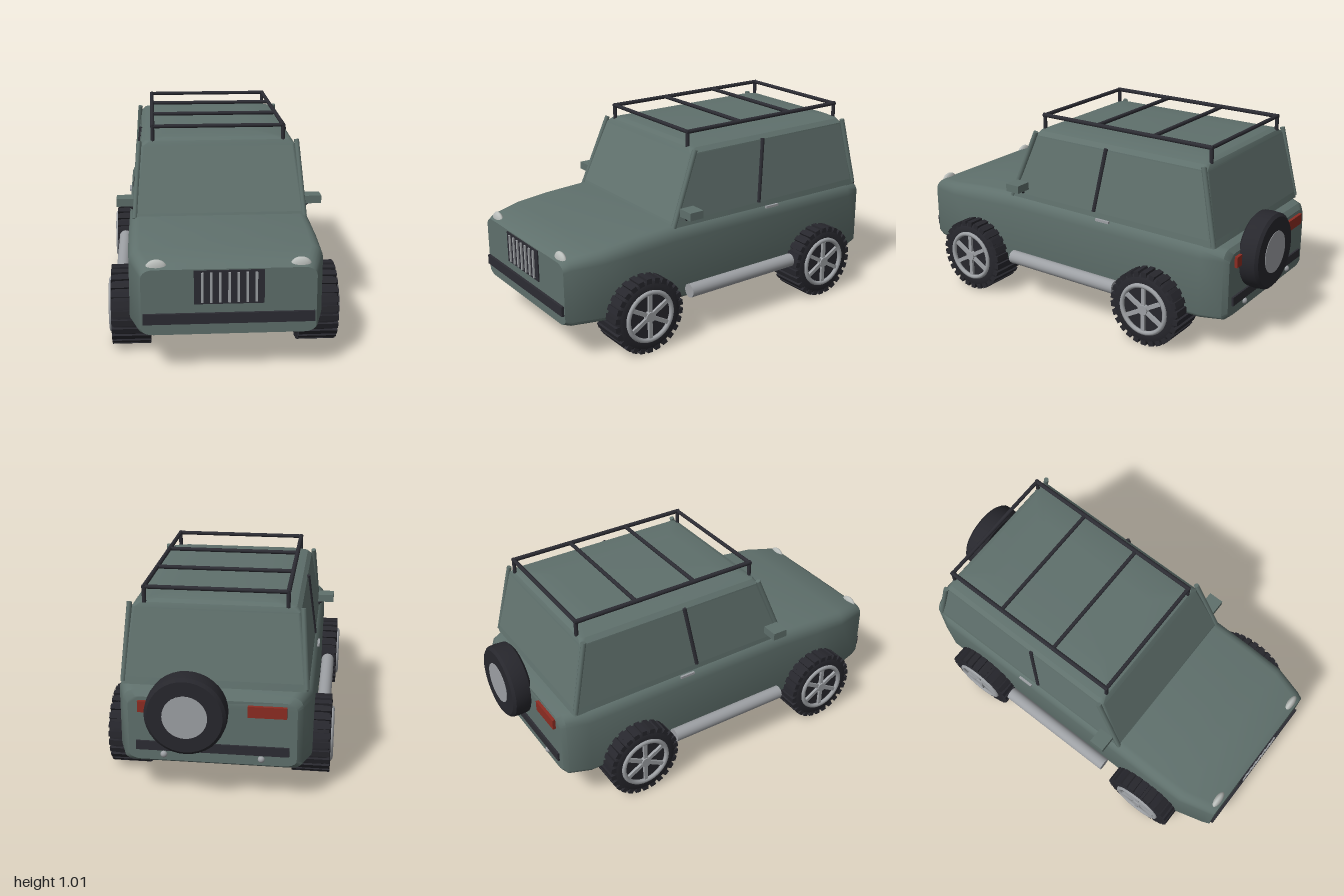
import * as THREE from 'three';
import { toCreasedNormals } from 'three/addons/utils/BufferGeometryUtils.js';

const mat = (name, color, side = THREE.FrontSide) => {
  const m = new THREE.MeshStandardMaterial({ color, side });
  m.name = name;
  return m;
};

export function createModel() {
  const car = new THREE.Group();
  car.name = 'offRoadCar';
  const paint = mat('greenPaint', 0x5f706c);
  const glass = mat('tintedGlass', 0x62736f, THREE.DoubleSide);
  const dark = mat('darkTrim', 0x2c2c33);
  const rubber = mat('rubber', 0x27272d);
  const metal = mat('greyMetal', 0x9da0a4);
  const lamp = mat('paleLamp', 0xb9bdba);
  const red = mat('redLamp', 0x8c2c22);

  const add = (name, geo, material, x = 0, y = 0, z = 0, parent = car) => {
    const m = new THREE.Mesh(geo, material);
    m.name = name;
    m.position.set(x, y, z);
    parent.add(m);
    return m;
  };
  const box = (name, w, h, d, material, x, y, z, parent) =>
    add(name, new THREE.BoxGeometry(w, h, d), material, x, y, z, parent);
  // Round bar between two points
  const bar = (name, a, b, r, material, sides = 10) => {
    const p = new THREE.Vector3(...a), q = new THREE.Vector3(...b);
    const m = add(name, new THREE.CylinderGeometry(r, r, p.distanceTo(q), sides), material);
    m.position.copy(p).add(q).multiplyScalar(0.5);
    m.quaternion.setFromUnitVectors(new THREE.Vector3(0, 1, 0), q.sub(p).normalize());
    return m;
  };

  // Rounded rectangle as a counter-clockwise ring; separate radii at bottom and top
  const ring = (hw, v0, v1, rx, ryBottom, ryTop, steps = 5) => {
    const pts = [];
    [[1, 1], [-1, 1], [-1, -1], [1, -1]].forEach(([sx, sy], k) => {
      const ry = sy > 0 ? ryTop : ryBottom;
      const cx = sx * (hw - rx), cy = sy > 0 ? v1 - ry : v0 + ry;
      for (let i = 0; i <= steps; i++) {
        const a = (k + i / steps) * Math.PI / 2;
        pts.push([cx + rx * Math.cos(a), cy + ry * Math.sin(a)]);
      }
    });
    return pts;
  };
  // Skin over successive rings of points, capped at both ends
  const loft = (rings, crease) => {
    const n = rings[0].length, pos = rings.flat(2), idx = [];
    for (let i = 0; i < rings.length - 1; i++)
      for (let j = 0; j < n; j++) {
        const k = (j + 1) % n, a = i * n + j, b = i * n + k;
        idx.push(a, b, b + n, a, b + n, a + n);
      }
    const last = (rings.length - 1) * n;
    for (let j = 1; j < n - 1; j++) idx.push(0, j + 1, j, last, last + j, last + j + 1);
    const g = new THREE.BufferGeometry();
    g.setAttribute('position', new THREE.Float32BufferAttribute(pos, 3));
    g.setIndex(idx);
    return toCreasedNormals(g, crease);
  };

  // Lower body: z, half width, bottom, top, top radius
  const bodySections = [
    [-0.905, 0.395, 0.195, 0.515, 0.04], [-0.885, 0.42, 0.18, 0.54, 0.05],
    [-0.78, 0.46, 0.18, 0.565, 0.07], [0.39, 0.46, 0.18, 0.572, 0.07],
    [0.62, 0.46, 0.18, 0.56, 0.07], [0.80, 0.455, 0.18, 0.542, 0.06],
    [0.95, 0.413, 0.18, 0.523, 0.05], [0.985, 0.40, 0.19, 0.503, 0.04],
  ];
  add('body', loft(bodySections.map(([z, hw, b, t, r]) =>
    ring(hw, b, t, 0.055, 0.03, r).map(([x, y]) => [x, y, z])), 0.6), paint);
  box('underbody', 0.62, 0.04, 1.62, dark, 0, 0.175, 0.04);

  // Cabin and roof: y, half width, front z, rear z, corner radius
  const cabinSections = [
    [0.55, 0.437, 0.395, -0.845, 0.015], [0.905, 0.392, 0.25, -0.765, 0.015],
    [0.927, 0.372, 0.238, -0.757, 0.03], [0.94, 0.31, 0.21, -0.735, 0.03],
    [0.946, 0.2, 0.1, -0.62, 0.03],
  ];
  add('cabin', loft(cabinSections.map(([y, hw, f, b, r]) =>
    ring(hw, -f, -b, r, r, r).map(([x, v]) => [x, y, -v])), 0.35), paint);

  // Window panes lying just proud of the cabin walls
  const pane = (name, corners) => {
    const g = new THREE.BufferGeometry();
    g.setAttribute('position', new THREE.Float32BufferAttribute(corners.flat(), 3));
    g.setIndex([0, 1, 2, 0, 2, 3]);
    g.computeVertexNormals();
    add(name, g, glass);
  };
  const at = (y, lo, hi) => lo + (hi - lo) * (y - 0.55) / 0.355;
  const wallX = (y) => at(y, 0.437, 0.392) + 0.003;
  const frontZ = (y) => at(y, 0.395, 0.25) + 0.003;
  const rearZ = (y) => at(y, -0.845, -0.765) - 0.003;
  const y0 = 0.585, y1 = 0.9;
  pane('windscreen', [[-0.415, y0, frontZ(y0)], [0.415, y0, frontZ(y0)],
    [0.378, y1, frontZ(y1)], [-0.378, y1, frontZ(y1)]]);
  pane('rearWindow', [[0.415, y0, rearZ(y0)], [-0.415, y0, rearZ(y0)],
    [-0.378, y1, rearZ(y1)], [0.378, y1, rearZ(y1)]]);

  // Wheel built along its own axle (y), outer face up
  const tyreProfile = [[0, -0.095], [0.165, -0.095], [0.18, -0.085], [0.184, -0.06],
    [0.184, 0.06], [0.18, 0.085], [0.165, 0.095], [0.135, 0.095], [0.125, 0.085], [0, 0.085]];
  const tyreGeo = toCreasedNormals(new THREE.LatheGeometry(
    tyreProfile.map((p) => new THREE.Vector2(...p)), 36), 0.6);
  const makeWheel = (name) => {
    const w = new THREE.Group();
    w.name = name;
    add('tyre', tyreGeo, rubber, 0, 0, 0, w);
    for (let i = 0; i < 26; i++) {
      const a = i / 26 * Math.PI * 2;
      box('treadBlock', 0.03, 0.186, 0.028, rubber,
        Math.cos(a) * 0.179, 0, Math.sin(a) * 0.179, w).rotation.y = -a;
    }
    const rim = add('rim', new THREE.TorusGeometry(0.124, 0.012, 8, 36), metal, 0, 0.095, 0, w);
    rim.rotation.x = Math.PI / 2;
    for (let i = 0; i < 6; i++) {
      const a = i * Math.PI / 3;
      box('spoke', 0.1, 0.014, 0.02, metal,
        Math.cos(a) * 0.07, 0.093, Math.sin(a) * 0.07, w).rotation.y = -a;
    }
    add('hub', new THREE.CylinderGeometry(0.026, 0.03, 0.025, 16), metal, 0, 0.093, 0, w);
    car.add(w);
    return w;
  };

  for (const s of [1, -1]) {
    const side = s > 0 ? 'left' : 'right';
    for (const [end, z] of [['Front', 0.605], ['Rear', -0.525]]) {
      const w = makeWheel(side + end + 'Wheel');
      w.position.set(s * 0.45, 0.195, z);
      w.rotation.z = -s * Math.PI / 2;
    }
    pane(side + 'SideWindow', [[s * wallX(y0), y0, 0.355], [s * wallX(y0), y0, -0.81],
      [s * wallX(y1), y1, -0.745], [s * wallX(y1), y1, 0.23]]);
    // Pillars
    bar(side + 'FrontPillar', [s * 0.429, 0.56, 0.385], [s * 0.402, 0.925, 0.236], 0.013, paint, 8);
    bar(side + 'RearPillar', [s * 0.429, 0.56, -0.835], [s * 0.402, 0.925, -0.755], 0.013, paint, 8);
    bar(side + 'DoorPillar', [s * 0.434, 0.585, -0.15], [s * 0.394, 0.91, -0.2], 0.011, dark, 8);
    // Mirror, door handle and side step
    box(side + 'Mirror', 0.085, 0.04, 0.08, paint, s * 0.477, 0.635, 0.31);
    bar(side + 'MirrorArm', [s * 0.425, 0.59, 0.31], [s * 0.465, 0.62, 0.31], 0.011, dark, 8);
    box(side + 'DoorHandle', 0.012, 0.012, 0.08, metal, s * 0.459, 0.557, -0.22);
    bar(side + 'SideStep', [s * 0.498, 0.24, 0.34], [s * 0.498, 0.24, -0.325], 0.035, metal, 20);
    // Lamps
    const head = add(side + 'Headlight',
      new THREE.SphereGeometry(1, 20, 8, 0, Math.PI * 2, 0, Math.PI / 2), lamp, s * 0.328, 0.503, 0.955);
    head.scale.set(0.05, 0.04, 0.02);
    box(side + 'TailLight', 0.18, 0.055, 0.025, red, s * 0.257, 0.47, -0.908);
    add(side + 'RearStud', new THREE.SphereGeometry(0.017, 14, 10), metal, s * 0.23, 0.225, -0.903);
  }

  // Grille and bumpers
  box('grille', 0.32, 0.16, 0.015, dark, 0, 0.418, 0.984);
  for (let i = -3; i <= 3; i++) box('grilleBar', 0.011, 0.142, 0.012, metal, i * 0.041, 0.418, 0.993);
  box('frontBumper', 0.785, 0.05, 0.03, dark, 0, 0.27, 0.983);
  box('rearBumper', 0.72, 0.045, 0.02, dark, 0, 0.27, -0.905);

  // Spare wheel
  const spareProfile = [[0, -0.055], [0.175, -0.055], [0.19, -0.042], [0.193, 0],
    [0.19, 0.04], [0.175, 0.053], [0.12, 0.053], [0, 0.05]];
  const spare = new THREE.Group();
  spare.name = 'spareWheel';
  spare.position.set(0.113, 0.463, -0.945);
  spare.rotation.x = -Math.PI / 2;
  car.add(spare);
  add('spareTyre', toCreasedNormals(new THREE.LatheGeometry(
    spareProfile.map((p) => new THREE.Vector2(...p)), 36), 0.6), rubber, 0, 0, 0, spare);
  add('spareCover', new THREE.CylinderGeometry(0.105, 0.105, 0.01, 32), metal, 0, 0.05, 0, spare);

  // Roof rack
  const rx = 0.333, ry = 1.0, zs = [0.23, -0.103, -0.433, -0.755];
  zs.forEach((z) => bar('rackCrossBar', [-rx, ry, z], [rx, ry, z], 0.01, dark));
  for (const s of [1, -1]) {
    bar('rackSideRail', [s * rx, ry, zs[0] + 0.008], [s * rx, ry, zs[3] - 0.008], 0.011, dark);
    for (const z of [zs[0], zs[3]]) bar('rackLeg', [s * rx, 0.925, z], [s * rx, ry + 0.008, z], 0.01, dark);
  }
  return car;
}
